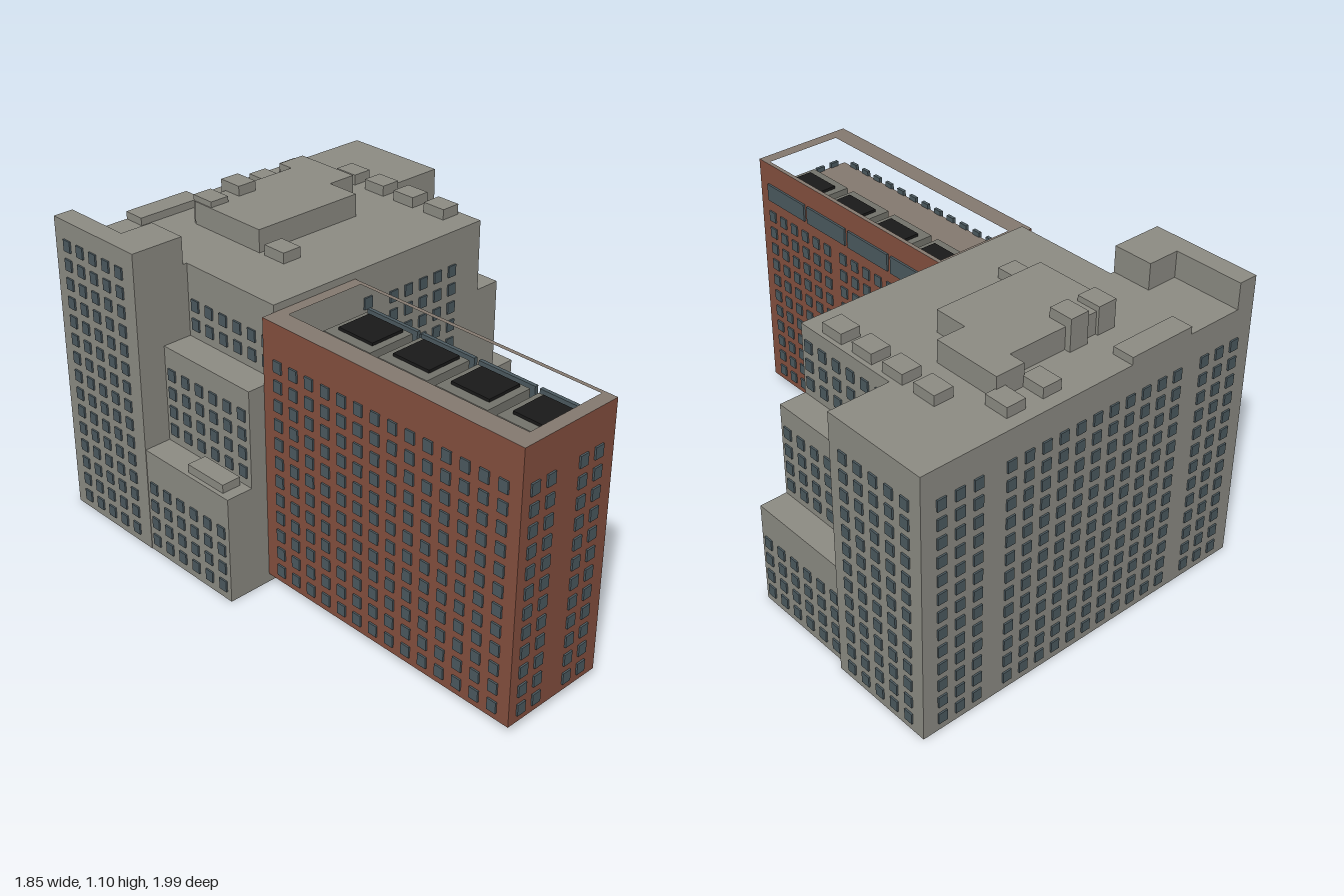
import * as THREE from 'three';
import { mergeGeometries } from 'three/addons/utils/BufferGeometryUtils.js';

const mat = (color) => new THREE.MeshStandardMaterial({ color });
const concrete = mat(0x8d8c84), brick = mat(0x85503f), wingRoof = mat(0x857a70);
const pane = mat(0x4c5a60), glass = mat(0x4a6c80), black = mat(0x1a1a1a), purple = mat(0x4b2a78);
const frameGrey = mat(0x74746c);

// evenly spaced positions
const steps = (start, gap, n) => Array.from({ length: n }, (_, i) => start + gap * i);
const FLOOR = 0.0675, COL = 0.068;
const floors = (first, n) => steps(first, FLOOR, n);

// box given by its limits on each axis
function box(x0, x1, y0, y1, z0, z1) {
  const g = new THREE.BoxGeometry(x1 - x0, y1 - y0, z1 - z0);
  return g.translate((x0 + x1) / 2, (y0 + y1) / 2, (z0 + z1) / 2);
}

function add(parent, name, geometry, material) {
  const m = new THREE.Mesh(geometry, material);
  m.name = name;
  parent.add(m);
  return m;
}

// grid of thin panes on one wall; axis is the wall's normal axis, plane its position
function windows(parent, name, axis, plane, cols, rows, w = 0.034, h = 0.04) {
  const d = 0.006, parts = [];
  for (const c of cols) for (const y of rows) {
    parts.push(axis === 'x'
      ? box(plane - d, plane + d, y - h / 2, y + h / 2, c - w / 2, c + w / 2)
      : box(c - w / 2, c + w / 2, y - h / 2, y + h / 2, plane - d, plane + d));
  }
  add(parent, name, mergeGeometries(parts), pane);
}

function mainBlock(site) {
  const g = new THREE.Group();
  g.name = 'mainBlock';
  site.add(g);

  // masses: core, end towers and stepped terraces
  const masses = [
    ['core', -0.71, 0.11, 0, 0.985, -0.51, 0.405],
    ['northTower', -0.71, -0.31, 0, 0.985, -0.733, -0.51],
    ['southTower', -0.71, -0.3, 0, 0.985, 0.405, 0.612],
    ['southTowerCrown', -0.71, -0.3, 0.985, 1.08, 0.54, 0.612],
    ['southTowerCrownReturn', -0.45, -0.3, 0.985, 1.08, 0.42, 0.54],
    ['southUpperTerrace', -0.3, 0.11, 0, 0.73, 0.405, 0.512],
    ['southLowerTerrace', -0.3, 0.11, 0, 0.385, 0.512, 0.61],
    ['northUpperTerrace', -0.31, 0.11, 0, 0.73, -0.608, -0.51],
    ['northLowerTerrace', -0.31, 0.11, 0, 0.385, -0.71, -0.608],
    ['penthouse', -0.52, -0.2, 0.985, 1.065, -0.235, 0.19],
    ['penthouseNorth', -0.58, -0.325, 0.985, 1.065, -0.342, -0.235],
    ['roofStrip', -0.71, -0.63, 0.985, 1.012, 0.076, 0.33],
    ['terraceHatch', -0.1, 0.07, 0.385, 0.415, 0.525, 0.595],
  ];
  for (const [name, ...b] of masses) add(g, name, box(...b), concrete);

  // small rooftop units: centre x, centre z, base, top
  const units = [-0.444, -0.304, -0.164, -0.022].map((x) => [x, -0.458, 0.985, 1.022]);
  units.push([-0.62, -0.344, 0.985, 1.022], [-0.617, -0.202, 0.985, 1.022],
    [-0.13, 0.154, 0.985, 1.022], [-0.497, 0.022, 0.985, 1.1], [-0.485, 0.15, 0.985, 1.085]);
  for (const [x, z, y0, y1] of units) {
    add(g, 'roofUnit', box(x - 0.045, x + 0.045, y0, y1, z - 0.036, z + 0.036), concrete);
  }

  // windows of the end towers
  const towerCols = steps(-0.645, COL, 5), stepCols = steps(-0.265, COL, 6);
  windows(g, 'southTowerWindows', 'z', 0.612, towerCols, floors(0.05, 15));
  windows(g, 'northTowerWindows', 'z', -0.733, towerCols, floors(0.05, 13));

  // windows of the stepped terraces
  windows(g, 'southLowerWindows', 'z', 0.61, stepCols, floors(0.05, 4));
  windows(g, 'southUpperWindows', 'z', 0.512, stepCols, floors(0.435, 4));
  windows(g, 'southCoreWindows', 'z', 0.405, stepCols, floors(0.78, 2));
  windows(g, 'northLowerWindows', 'z', -0.71, stepCols, floors(0.05, 4));
  windows(g, 'northUpperWindows', 'z', -0.608, stepCols, floors(0.435, 4));
  windows(g, 'northCoreWindows', 'z', -0.51, stepCols, floors(0.78, 3));

  // long sides
  const longCols = [...steps(-0.66, COL, 3), ...steps(-0.4, COL, 11), ...steps(0.4, COL, 3)];
  windows(g, 'westWindows', 'x', -0.71, longCols, floors(0.05, 13));
  windows(g, 'eastWindows', 'x', 0.11, steps(-0.375, COL, 5), floors(0.44, 7));
  windows(g, 'eastCornerWindows', 'x', 0.11, [0.012], floors(0.05, 13));
  windows(g, 'eastTerraceWindows', 'x', 0.11, [-0.57, -0.64], floors(0.05, 4));
}

function brickWing(site) {
  const g = new THREE.Group();
  g.name = 'brickWing';
  site.add(g);
  const [x0, x1, z0, z1] = [0.11, 1.135, 0.067, 0.45];
  add(g, 'wingBody', box(x0, x1, 0.03, 0.82, z0, z1), [brick, brick, wingRoof, brick, brick, brick]);

  // parapet ring around the sunken roof
  const rect = (path, a, b, c, d) => path.moveTo(a, -c).lineTo(b, -c).lineTo(b, -d).lineTo(a, -d).closePath();
  const ring = rect(new THREE.Shape(), x0, x1, z0, z1);
  ring.holes.push(rect(new THREE.Path(), 0.15, 1.09, 0.082, 0.38));
  const parapet = new THREE.ExtrudeGeometry(ring, { depth: 0.14, bevelEnabled: false });
  parapet.rotateX(-Math.PI / 2).translate(0, 0.82, 0);
  add(g, 'parapet', parapet, [wingRoof, brick]);

  // skylights on the roof, with a glazed strip behind each on the wall
  for (const x of steps(0.278, 0.233, 4)) {
    add(g, 'skylightFrame', box(x - 0.1, x + 0.1, 0.82, 0.875, 0.085, 0.265), frameGrey);
    add(g, 'skylightGlass', box(x - 0.073, x + 0.073, 0.87, 0.885, 0.098, 0.228), black);
    add(g, 'clerestory', box(x - 0.108, x + 0.108, 0.815, 0.88, z0 - 0.008, z0 + 0.005), pane);
  }

  const rows = floors(0.075, 12);
  windows(g, 'wingFrontWindows', 'z', z1, steps(0.176, 0.069, 14), rows);
  windows(g, 'wingBackWindows', 'z', z0, [...steps(0.33, 0.065, 6), ...steps(0.745, 0.065, 6)], rows.slice(0, 11));
  windows(g, 'wingEndWindows', 'x', x1, [0.135, 0.2, 0.335, 0.4], rows);
}

function entranceDrum(site) {
  const g = new THREE.Group();
  g.name = 'entranceDrum';
  g.position.set(0.11, 0, -0.245);
  site.add(g);
  const half = (r, y0, y1) =>
    new THREE.CylinderGeometry(r, r, y1 - y0, 32, 1, false, 0, Math.PI).translate(0, (y0 + y1) / 2, 0);
  add(g, 'drumWall', half(0.194, 0, 0.4), concrete);
  add(g, 'drumGlazing', half(0.197, 0.2, 0.36), glass);

  // upright fins over the glazing
  const fins = [];
  for (let i = 0; i < 23; i++) {
    fins.push(box(-0.004, 0.004, 0.2, 0.36, 0.19, 0.213).rotateY((Math.PI * (i + 0.5)) / 23));
  }
  add(g, 'drumFins', mergeGeometries(fins), frameGrey);
}

export function createModel() {
  const model = new THREE.Group();
  model.name = 'officeComplex';
  const site = new THREE.Group();
  site.name = 'buildings';
  site.rotation.y = -0.5717;
  model.add(site);
  mainBlock(site);
  brickWing(site);
  entranceDrum(site);

  // projecting sign beside the drum
  const sign = new THREE.Group();
  sign.name = 'projectingSign';
  sign.position.set(0.465, 0.305, -0.275);
  sign.rotation.y = 0.45;
  add(sign, 'signPanel', box(-0.005, 0.005, -0.053, 0.053, -0.035, 0.035), purple);
  add(sign, 'signArm', box(-0.09, 0, -0.006, 0.006, -0.004, 0.004), frameGrey);
  model.add(sign);
  return model;
}
